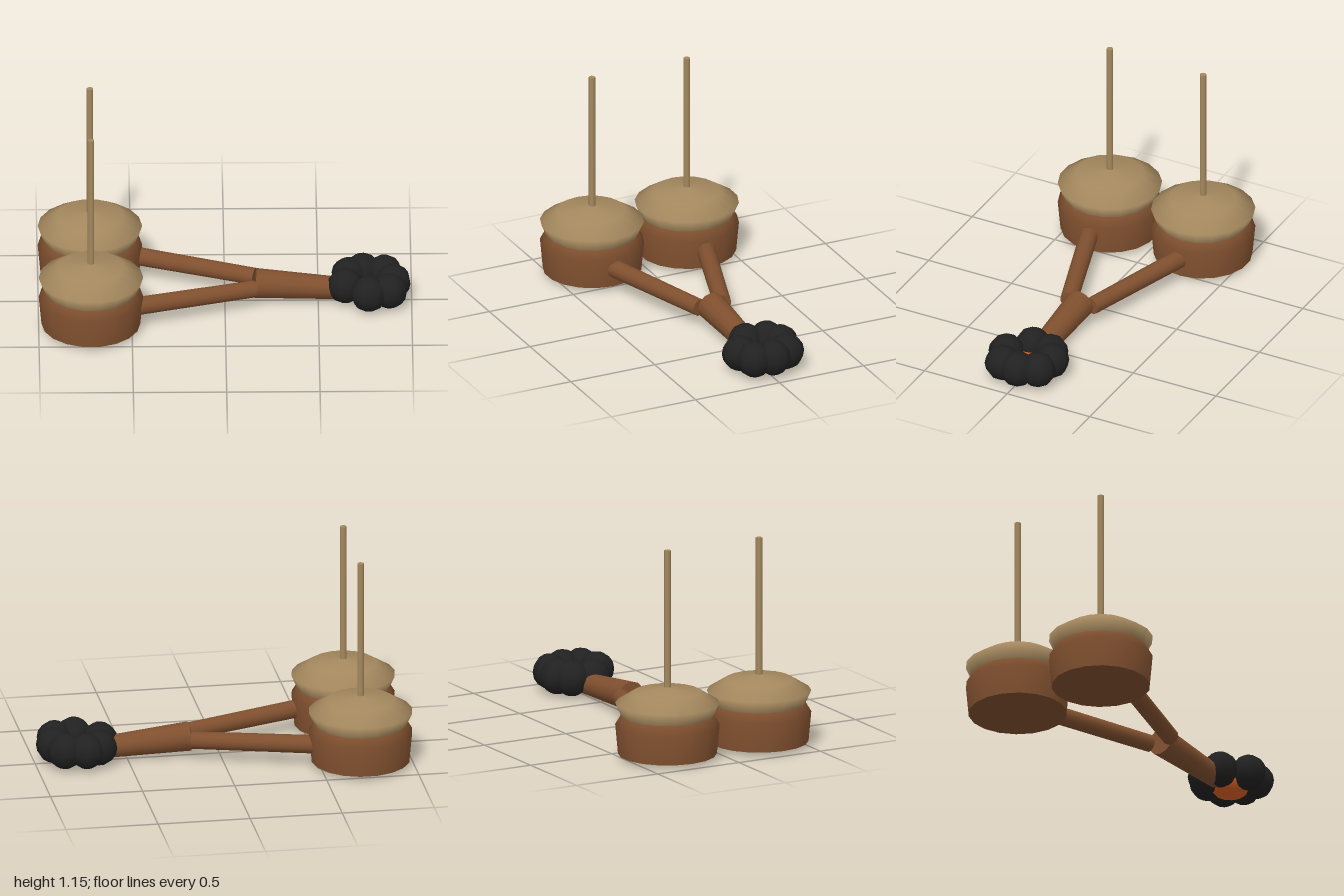
import * as THREE from 'three';

const material = (name, color) => {
  const m = new THREE.MeshStandardMaterial({ color });
  m.name = name;
  return m;
};

export function createModel() {
  const clay = material('brown clay', 0x80502f);
  const tan = material('tan', 0xa4885e);
  const coal = material('charcoal black', 0x212121);
  const ember = material('ember orange', 0xd95f22);

  const model = new THREE.Group();
  model.name = 'twinPotPipe';

  const add = (parent, name, geometry, mat, x = 0, y = 0, z = 0) => {
    const mesh = new THREE.Mesh(geometry, mat);
    mesh.name = name;
    mesh.position.set(x, y, z);
    parent.add(mesh);
    return mesh;
  };

  // Turned shape from [radius, height] pairs, listed bottom to top
  const turned = (points, sides, start = Math.PI / 2) =>
    new THREE.LatheGeometry(points.map(([r, y]) => new THREE.Vector2(r, y)), sides, start);

  // Round bar between two points, tapering from rA to rB
  const bar = (name, a, b, rA, rB, mat) => {
    const from = new THREE.Vector3(...a);
    const to = new THREE.Vector3(...b);
    const dir = to.clone().sub(from);
    const mid = from.clone().add(to).multiplyScalar(0.5);
    const mesh = add(model, name, new THREE.CylinderGeometry(rB, rA, dir.length(), 12), mat, ...mid);
    mesh.quaternion.setFromUnitVectors(new THREE.Vector3(0, 1, 0), dir.normalize());
  };

  // Two lidded pots, each with an upright rod and an arm to the handle
  const bowl = turned([[0.265, 0.027], [0.28, 0.19], [0.25, 0.24]], 18);
  const lid = turned([[0.25, 0.24], [0.28, 0.307], [0.18, 0.37], [0, 0.397]], 18);
  const base = new THREE.CircleGeometry(0.265, 18).rotateX(Math.PI / 2);
  const rod = new THREE.CylinderGeometry(0.018, 0.018, 0.77, 10);
  for (const [side, s] of [['front', 1], ['back', -1]]) {
    const pot = new THREE.Group();
    pot.name = side + 'Pot';
    pot.position.set(-0.72, 0, 0.282 * s);
    model.add(pot);
    add(pot, 'bowl', bowl, clay);
    add(pot, 'base', base, clay, 0, 0.027, 0);
    add(pot, 'lid', lid, tan);
    add(pot, 'rod', rod, tan, 0, 0.765, 0);
    bar(side + 'Arm', [-0.49, 0.126, 0.28 * s], [0.16, 0.112, 0.068 * s], 0.05, 0.047, clay);
  }

  // Tapered handle
  bar('handle', [0.163, 0.11, 0], [0.66, 0.073, 0], 0.08, 0.058, clay);

  // Glowing dish surrounded by a ring of coals
  add(model, 'emberDish',
    turned([[0, 0.003], [0.08, 0.018], [0.12, 0.06], [0.1, 0.1], [0, 0.125]], 12),
    ember, 0.77, 0, 0);
  const ball = new THREE.SphereGeometry(0.097, 9, 8);
  const coals = [
    [0.9, -0.01], [0.88, 0.09], [0.77, 0.125], [0.645, 0.03],
    [0.665, -0.085], [0.74, -0.13], [0.855, -0.11],
  ];
  coals.forEach(([x, z], i) => {
    add(model, 'coal' + (i + 1), ball, coal, x, 0.109, z).rotation.y = -Math.atan2(z, x - 0.77);
  });

  return model;
}
